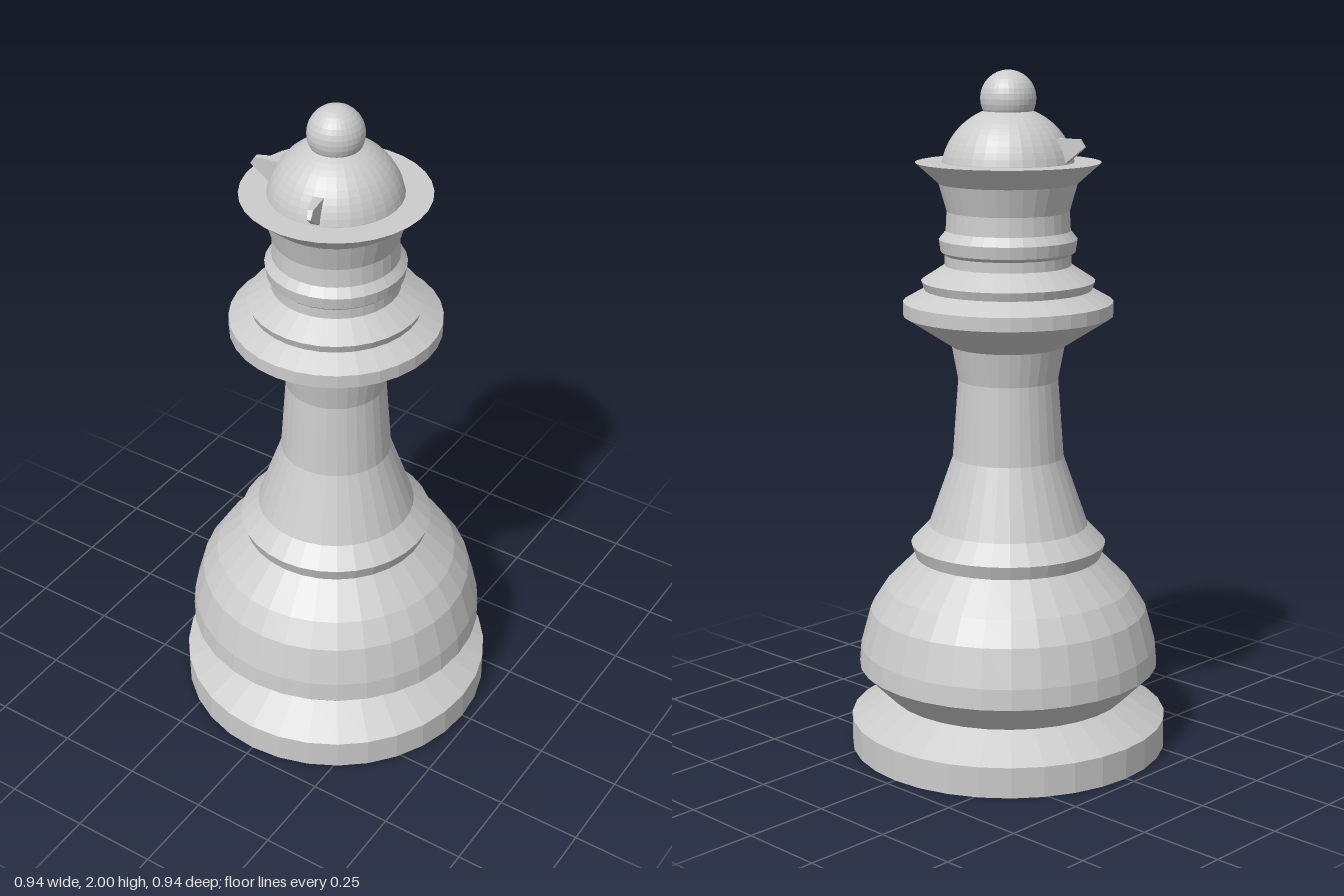
import * as THREE from 'three';

const SIDES = 32;
const material = new THREE.MeshStandardMaterial({ color: 0xcccccc, flatShading: true });

function part(name, geometry, y = 0) {
  const mesh = new THREE.Mesh(geometry, material);
  mesh.name = name;
  mesh.position.y = y;
  return mesh;
}

// Turned part from [radius, height] pairs, listed bottom to top
function turned(name, profile) {
  return part(name, new THREE.LatheGeometry(profile.map(([r, y]) => new THREE.Vector2(r, y)), SIDES));
}

// Small crown thorn: side outline along +x, narrowing towards its tip
function thornGeometry() {
  const outline = [[0.16, 1.735], [0.185, 1.742], [0.243, 1.79], [0.228, 1.812], [0.155, 1.812]];
  const shape = new THREE.Shape(outline.map(([r, y]) => new THREE.Vector2(r, y)));
  const geometry = new THREE.ExtrudeGeometry(shape, { depth: 1, bevelEnabled: false });
  const pos = geometry.attributes.position;
  for (let i = 0; i < pos.count; i++) {
    const width = THREE.MathUtils.mapLinear(pos.getX(i), 0.155, 0.243, 0.032, 0.011);
    pos.setZ(i, (pos.getZ(i) - 0.5) * width);
  }
  geometry.computeVertexNormals();
  return geometry;
}

export function createModel() {
  const group = new THREE.Group();

  group.add(
    turned('base', [[0, 0], [0.47, 0], [0.47, 0.09], [0.355, 0.16]]),
    turned('bulb', [[0.355, 0.16], [0.445, 0.25], [0.44, 0.31], [0.41, 0.42], [0.365, 0.49], [0.275, 0.58]]),
    turned('waistRing', [[0.275, 0.58], [0.288, 0.62], [0.235, 0.675]]),
    turned('stem', [[0.235, 0.675], [0.163, 0.88], [0.146, 1.11], [0.165, 1.21]]),
    turned('collar', [
      [0.165, 1.21], [0.305, 1.30], [0.305, 1.34], [0.243, 1.375],
      [0.252, 1.40], [0.183, 1.445], [0.183, 1.475],
    ]),
    turned('neckRing', [[0.183, 1.475], [0.195, 1.485], [0.2, 1.52], [0.18, 1.545]]),
    turned('crown', [[0.18, 1.545], [0.177, 1.6], [0.2, 1.68], [0.267, 1.74], [0, 1.74]]),
  );

  // Domed top and finial ball
  group.add(part('dome', new THREE.SphereGeometry(0.193, SIDES, 16, 0, Math.PI * 2, 0, Math.PI / 2), 1.705));
  group.add(part('finial', new THREE.SphereGeometry(0.08, SIDES, 16), 1.92));

  // Two thorns a quarter turn apart
  const thorn = thornGeometry();
  for (const degrees of [74, 164]) {
    const mesh = part('crownThorn', thorn);
    mesh.rotation.y = -THREE.MathUtils.degToRad(degrees);
    group.add(mesh);
  }
  return group;
}
